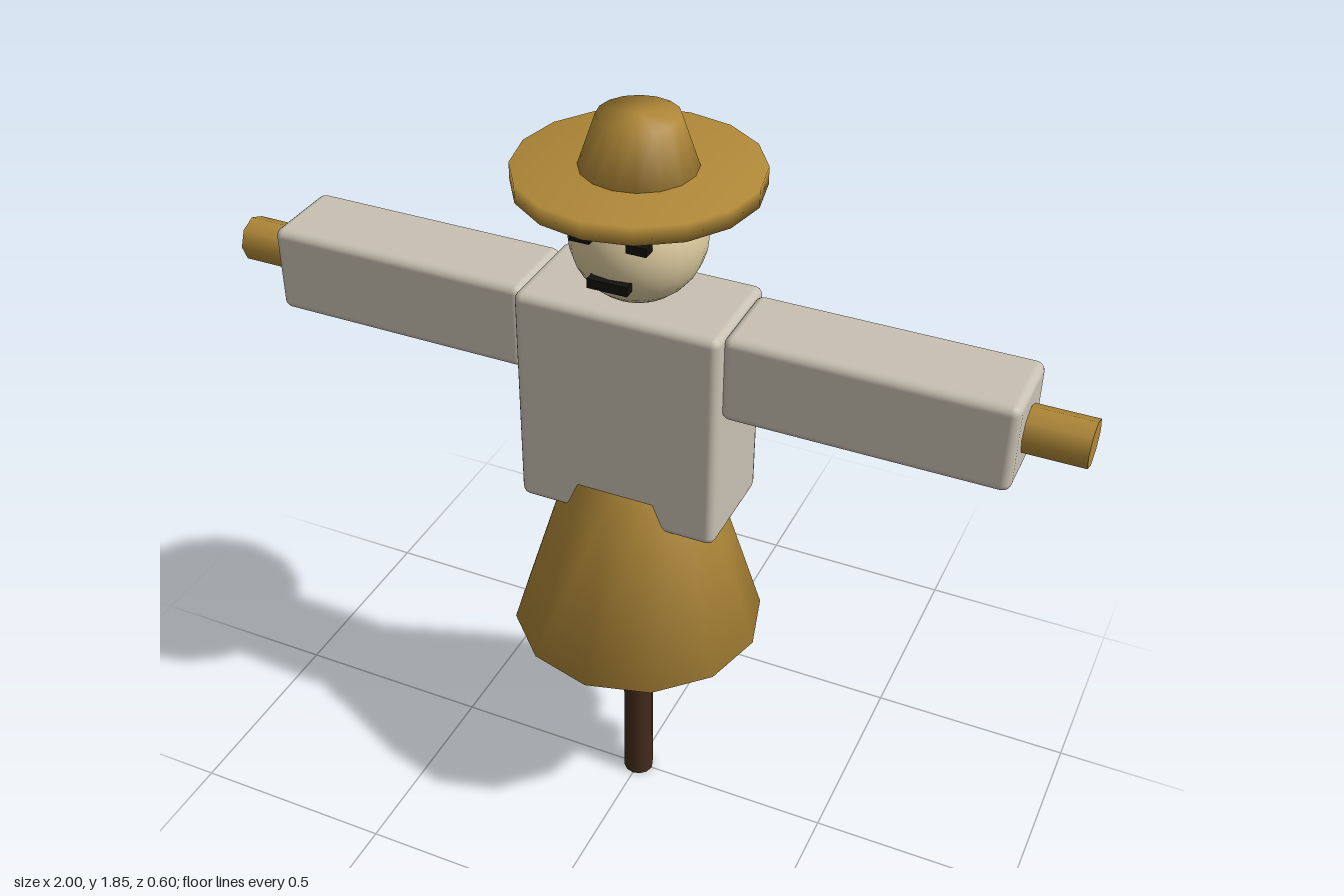
import * as THREE from 'three';
import { mergeVertices } from 'three/addons/utils/BufferGeometryUtils.js';
import { RoundedBoxGeometry } from 'three/addons/geometries/RoundedBoxGeometry.js';

const paint = (color) => new THREE.MeshStandardMaterial({ color });

// Frustum whose normals run smoothly over the rim and caps
function softFrustum(top, bottom, height, sides) {
  const g = new THREE.CylinderGeometry(top, bottom, height, sides);
  g.deleteAttribute('normal');
  g.deleteAttribute('uv');
  const merged = mergeVertices(g);
  merged.computeVertexNormals();
  return merged;
}

export function createModel() {
  const model = new THREE.Group();
  model.name = 'scarecrow';
  const straw = paint(0xb08838);
  const cloth = paint(0xc8c0b2);
  const wood = paint(0x432c1c);
  const sack = paint(0xdccb9f);
  const black = paint(0x141210);

  const add = (name, geometry, material, x, y, z) => {
    const mesh = new THREE.Mesh(geometry, material);
    mesh.name = name;
    mesh.position.set(x, y, z);
    model.add(mesh);
    return mesh;
  };

  // Post and skirt
  add('post', new THREE.CylinderGeometry(0.037, 0.037, 1, 12), wood, 0, 0.5, 0);
  add('skirt', softFrustum(0.163, 0.3, 0.44, 12), straw, 0, 0.76, 0);

  // Shirt body
  add('torso', new RoundedBoxGeometry(0.48, 0.54, 0.26, 2, 0.02), cloth, 0, 1.175, 0);

  // Sleeves with straw hands poking out
  for (const [side, s] of [['left', 1], ['right', -1]]) {
    add(side + 'Sleeve', new RoundedBoxGeometry(0.63, 0.206, 0.206, 2, 0.02), cloth, s * 0.55, 1.337, 0);
    const hand = add(side + 'Hand', new THREE.CylinderGeometry(0.053, 0.053, 0.18, 8), straw, s * 0.91, 1.337, 0);
    hand.rotation.z = -s * Math.PI / 2;
    add(side + 'Eye', new THREE.BoxGeometry(0.046, 0.02, 0.03), black, s * 0.064, 1.631, 0.138);
  }

  // Head and mouth
  add('head', new THREE.SphereGeometry(0.15, 24, 16), sack, 0, 1.585, 0);
  add('mouth', new THREE.BoxGeometry(0.092, 0.022, 0.026), black, 0, 1.533, 0.145);

  // Hat
  add('hatBrim', softFrustum(0.267, 0.267, 0.04, 16), straw, 0, 1.72, 0);
  add('hatCrown', softFrustum(0.088, 0.133, 0.13, 16), straw, 0, 1.787, 0);

  return model;
}
